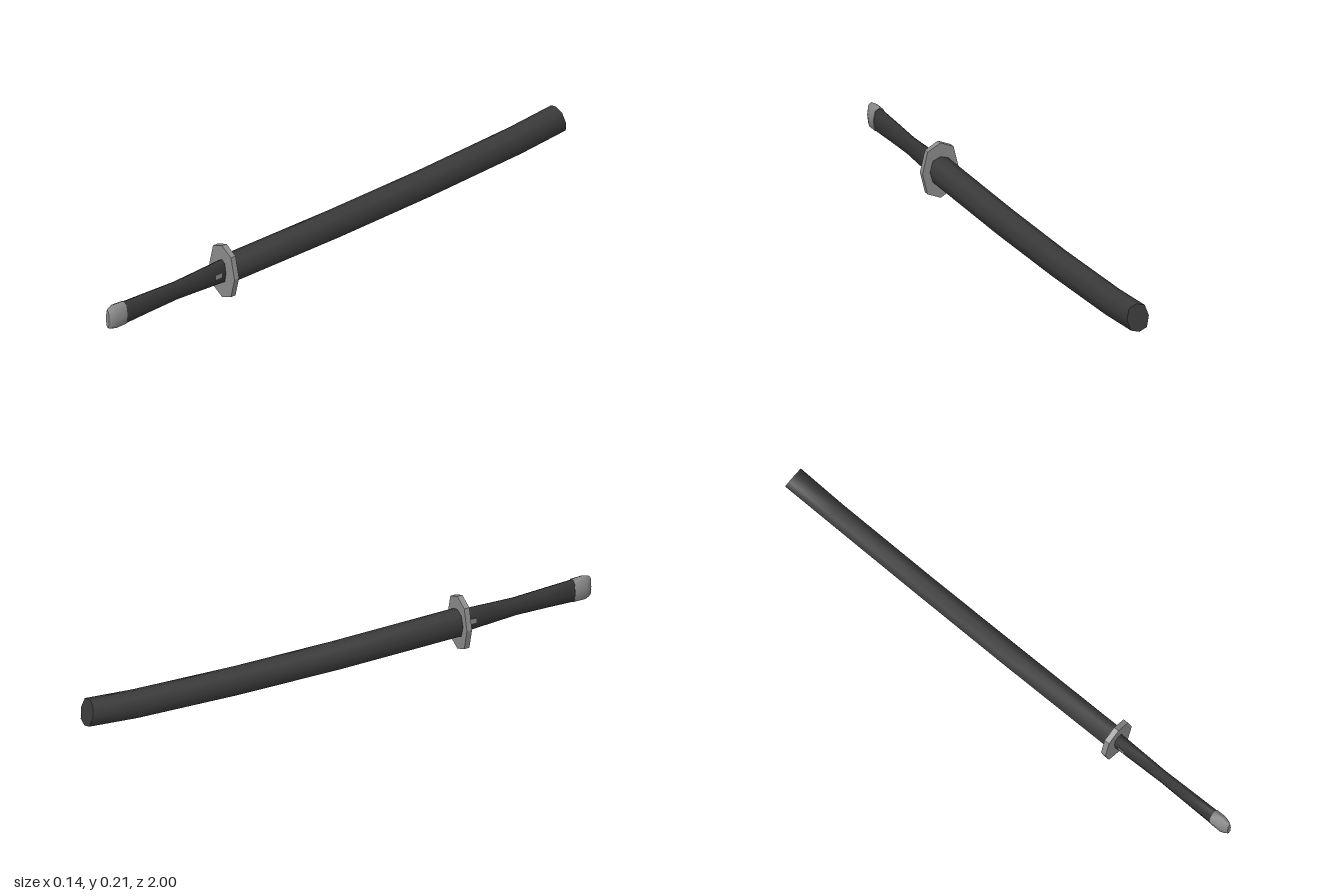
import * as THREE from 'three';

// Unit octagon with points at the top, bottom and sides
const OCTAGON = [[0, 1], [0.72, 0.79], [1, 0], [0.72, -0.79], [0, -1], [-0.72, -0.79], [-1, 0], [-0.72, 0.79]];

// Smooth loft through octagonal sections [z, centre y, half width, half height, lean], front to back
function loft(sections) {
  const pos = [], idx = [], n = OCTAGON.length;
  const addRing = ([z, y, rx, ry, lean = 0]) => {
    const start = pos.length / 3;
    for (const [u, v] of OCTAGON) pos.push(u * rx, y + v * ry, z + v * lean);
    return start;
  };
  const rings = sections.map(addRing);
  for (let i = 0; i < rings.length - 1; i++) {
    for (let j = 0; j < n; j++) {
      const k = (j + 1) % n, a = rings[i], b = rings[i + 1];
      idx.push(a + j, a + k, b + j, a + k, b + k, b + j);
    }
  }
  // Separate end caps keep their rims sharp
  const front = addRing(sections[0]), back = addRing(sections[sections.length - 1]);
  for (let j = 1; j < n - 1; j++) {
    idx.push(front, front + j + 1, front + j);
    idx.push(back, back + j, back + j + 1);
  }
  const geo = new THREE.BufferGeometry();
  geo.setAttribute('position', new THREE.Float32BufferAttribute(pos, 3));
  geo.setIndex(idx);
  geo.computeVertexNormals();
  return geo;
}

export function createModel() {
  const sheathMat = new THREE.MeshStandardMaterial({ name: 'charcoal lacquer', color: 0x3b3b3b });
  const gripMat = new THREE.MeshStandardMaterial({ name: 'dark wrap', color: 0x363636 });
  const metalMat = new THREE.MeshStandardMaterial({ name: 'grey metal', color: 0x8c8c8c });

  const group = new THREE.Group();
  group.name = 'sheathedSword';
  const add = (name, geo, mat) => {
    const mesh = new THREE.Mesh(geo, mat);
    mesh.name = name;
    group.add(mesh);
    return mesh;
  };

  // Sheath curving gently upwards, with a leaning end
  add('sheath', loft([
    [0.48, 0.108, 0.042, 0.052],
    [0.0, 0.109, 0.042, 0.052],
    [-0.4, 0.118, 0.041, 0.052, 0.003],
    [-0.8, 0.137, 0.041, 0.052, 0.006],
    [-0.99, 0.155, 0.043, 0.05, 0.01],
  ]), sheathMat);

  // Octagonal guard plate
  const outline = OCTAGON.map(([u, v]) => new THREE.Vector2(u * 0.071, v * 0.106 * 0.97 + Math.sign(v) * (Math.abs(v) === 1 ? 0.003 : 0)));
  const guardGeo = new THREE.ExtrudeGeometry(new THREE.Shape(outline), { depth: 0.02, bevelEnabled: false });
  add('guard', guardGeo, metalMat).position.set(0, 0.107, 0.475);

  // Waisted grip
  add('grip', loft([
    [0.935, 0.108, 0.022, 0.045],
    [0.82, 0.109, 0.021, 0.04],
    [0.7, 0.109, 0.019, 0.036],
    [0.6, 0.109, 0.021, 0.041],
    [0.49, 0.109, 0.023, 0.047],
  ]), gripMat);

  // Rounded pommel cap
  add('pommel', loft([
    [1.0, 0.109, 0.009, 0.036],
    [0.99, 0.109, 0.016, 0.044],
    [0.972, 0.109, 0.023, 0.049],
    [0.93, 0.109, 0.024, 0.047],
  ]), metalMat);

  // Small ornaments on both sides of the grip
  for (const side of [-1, 1]) {
    const ornament = add('gripOrnament', new THREE.BoxGeometry(0.004, 0.018, 0.026), metalMat);
    ornament.position.set(side * 0.0205, 0.109, 0.525);
  }
  return group;
}
